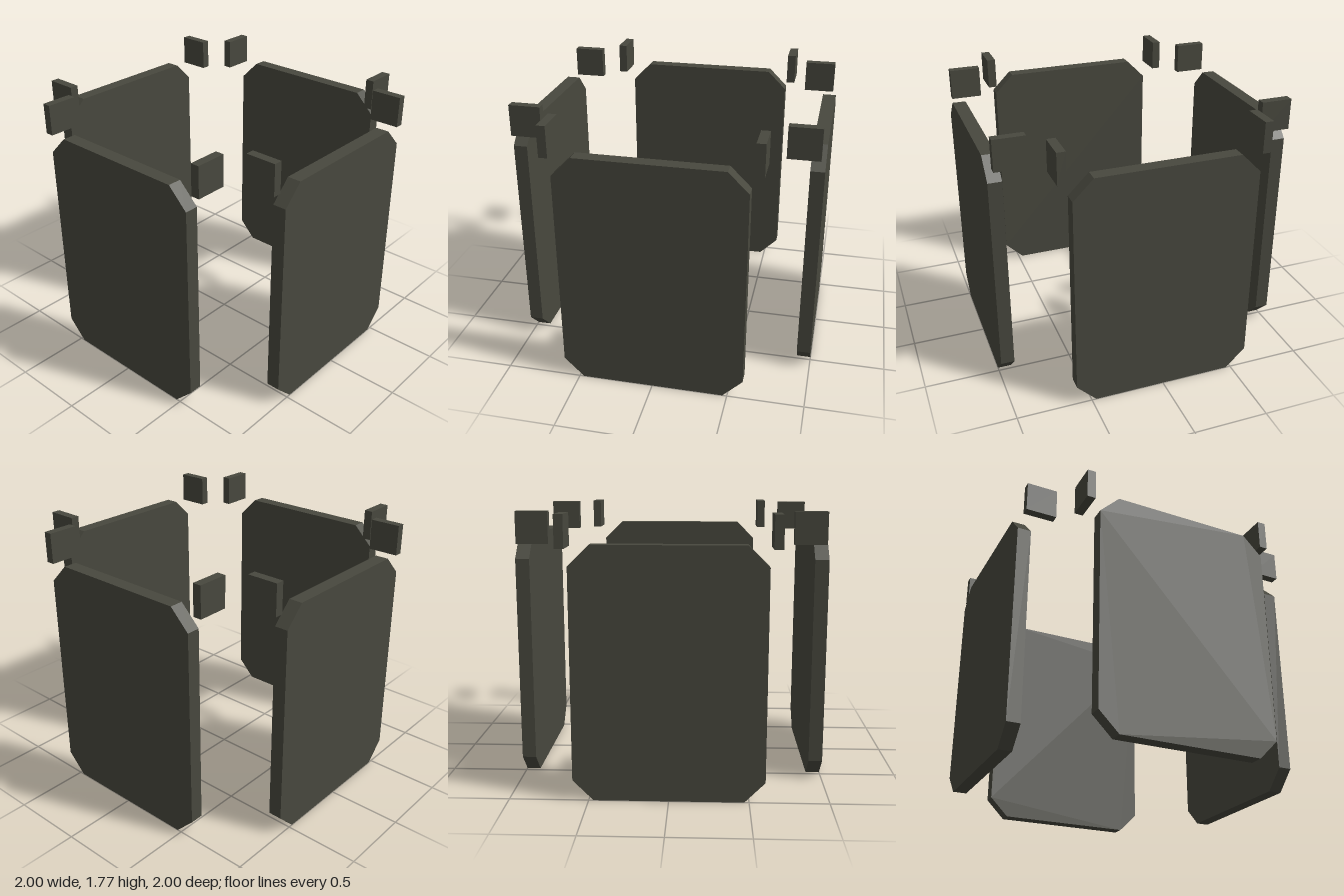
import * as THREE from 'three';

const W = 0.6, H = 1.595, CUT = 0.13, THICK = 0.09;

// Upright slab outline with its four corners cut off
function panelGeometry() {
  const shape = new THREE.Shape([
    [-W + CUT, 0], [W - CUT, 0], [W, CUT], [W, H - CUT],
    [W - CUT, H], [-W + CUT, H], [-W, H - CUT], [-W, CUT],
  ].map(([x, y]) => new THREE.Vector2(x, y)));
  const geometry = new THREE.ExtrudeGeometry(shape, { depth: THICK, bevelEnabled: false });
  return geometry.translate(0, 0, 1 - THICK);
}

export function createModel() {
  const model = new THREE.Group();
  model.name = 'panelRing';
  const material = new THREE.MeshStandardMaterial({ color: 0x48483e, flatShading: true });
  const panel = panelGeometry();
  const block = new THREE.BoxGeometry(0.057, 0.205, 0.205);

  // Each side has one panel and a small raised block beyond each upper corner
  ['front', 'left', 'back', 'right'].forEach((name, i) => {
    const side = new THREE.Group();
    side.name = name + 'Side';
    side.rotation.y = i * Math.PI / 2;

    const slab = new THREE.Mesh(panel, material);
    slab.name = name + 'Panel';
    side.add(slab);

    for (const s of [-1, 1]) {
      const tab = new THREE.Mesh(block, material);
      tab.name = name + 'CornerBlock' + (s < 0 ? 'A' : 'B');
      tab.position.set(s * 0.65, 1.67, 0.872);
      side.add(tab);
    }
    model.add(side);
  });
  return model;
}
